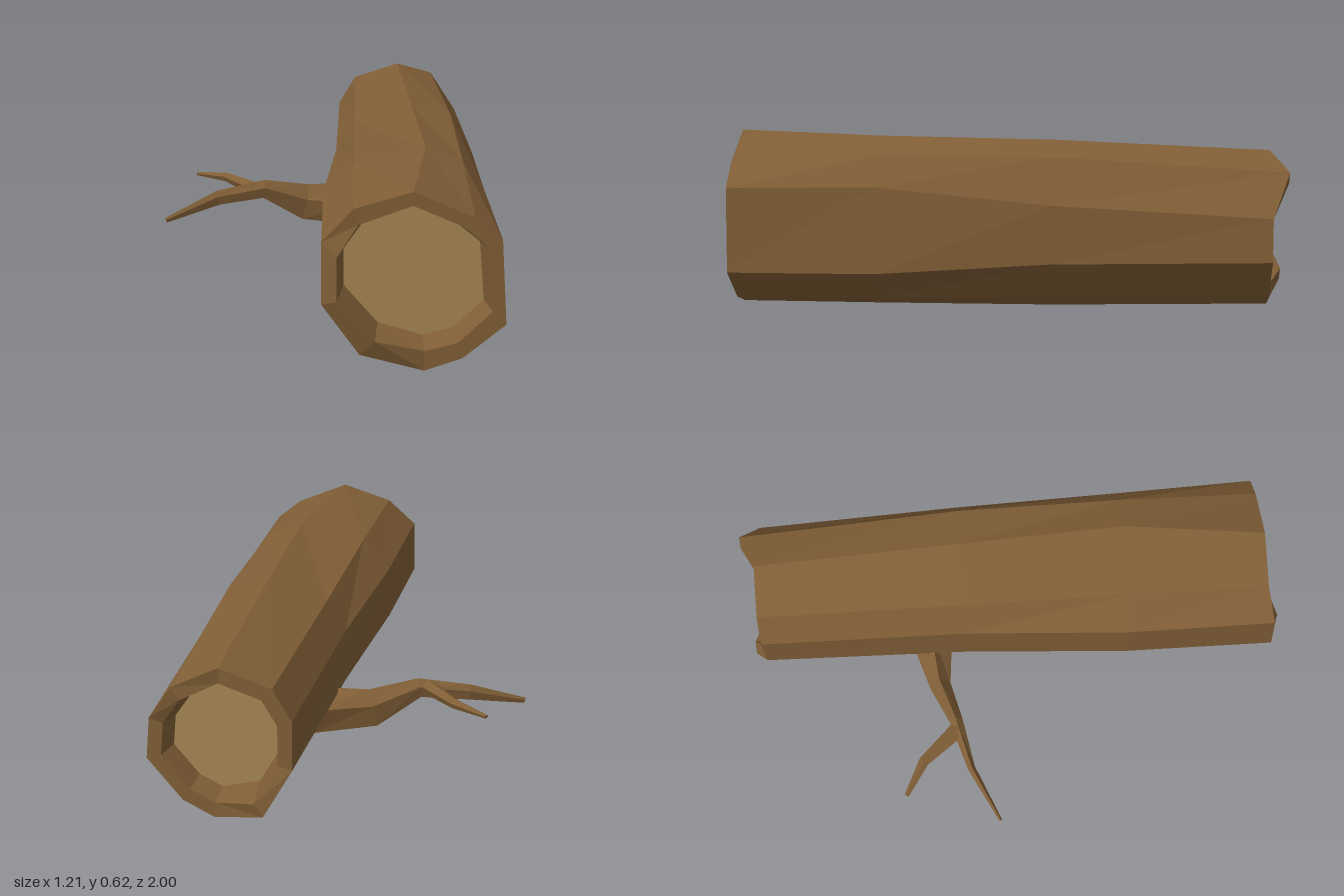
import * as THREE from 'three';

// Faceted mesh from a list of triangles (each corner a Vector3)
function facetMesh(name, tris, material) {
  const g = new THREE.BufferGeometry().setFromPoints(tris);
  g.computeVertexNormals();
  const mesh = new THREE.Mesh(g, material);
  mesh.name = name;
  return mesh;
}

// Skin between consecutive closed rings
function loft(rings) {
  const tris = [];
  for (let k = 0; k < rings.length - 1; k++) {
    const p = rings[k], q = rings[k + 1], n = p.length;
    for (let i = 0; i < n; i++) {
      const j = (i + 1) % n;
      tris.push(p[i], p[j], q[i], p[j], q[j], q[i]);
    }
  }
  return tris;
}

// Fan that closes a ring
function fan(ring, flip) {
  const c = new THREE.Vector3();
  ring.forEach((p) => c.add(p));
  c.divideScalar(ring.length);
  return ring.flatMap((p, i) => {
    const q = ring[(i + 1) % ring.length];
    return flip ? [c, q, p] : [c, p, q];
  });
}

// Ring from an [x, y] outline; z is one depth, with exceptions by index
function ringAt(outline, z, special = {}) {
  return outline.map(([x, y], i) => new THREE.Vector3(x, y, special[i] ?? z));
}

// Outline shrunk towards a centre
function inset(outline, cx, cy, s) {
  return outline.map(([x, y]) => [cx + (x - cx) * s, cy + (y - cy) * s]);
}

// Tapered limb; each section is [x, y, z, halfWidth, halfHeight]
function limb(sections, sides = 5) {
  const pts = sections.map((s) => new THREE.Vector3(s[0], s[1], s[2]));
  const rings = sections.map(([, , , w, h], k) => {
    const t = pts[Math.min(k + 1, pts.length - 1)].clone()
      .sub(pts[Math.max(k - 1, 0)]).normalize();
    const n = new THREE.Vector3(0, 1, 0).cross(t).normalize();
    const u = t.clone().cross(n);
    return Array.from({ length: sides }, (_, i) => {
      const a = Math.PI / 2 + (i / sides) * Math.PI * 2;
      return pts[k].clone().addScaledVector(n, Math.cos(a) * w).addScaledVector(u, Math.sin(a) * h);
    });
  });
  return [...loft(rings), ...fan(rings[0], true), ...fan(rings[rings.length - 1], false)];
}

export function createModel() {
  const bark = new THREE.MeshStandardMaterial({ color: 0x805e36 });
  bark.name = 'bark';
  const heartwood = new THREE.MeshStandardMaterial({ color: 0xa68652 });
  heartwood.name = 'heartwood';

  const model = new THREE.Group();
  model.name = 'fallenLog';

  // Trunk outlines from front to back, starting upper left and going over the top
  const front = [[0, 0.46], [0.105, 0.565], [0.295, 0.622], [0.495, 0.535], [0.585, 0.46],
    [0.606, 0.165], [0.465, 0.045], [0.34, 0], [0.125, 0.065], [0, 0.25]];
  const middle = [[0.003, 0.45], [0.11, 0.56], [0.36, 0.615], [0.49, 0.565], [0.565, 0.465],
    [0.595, 0.165], [0.465, 0.05], [0.34, 0], [0.125, 0.07], [0.003, 0.25]];
  const waist = [[0.05, 0.42], [0.12, 0.53], [0.335, 0.603], [0.485, 0.565], [0.572, 0.41],
    [0.578, 0.205], [0.46, 0.06], [0.34, 0.003], [0.15, 0.07], [0.048, 0.23]];
  const back = [[0.065, 0.4], [0.13, 0.51], [0.31, 0.57], [0.455, 0.515], [0.555, 0.37],
    [0.57, 0.22], [0.45, 0.075], [0.34, 0.02], [0.155, 0.07], [0.068, 0.22]];
  // Rim and hollow outlines
  const frontRim = [[0.05, 0.415], [0.12, 0.51], [0.295, 0.575], [0.455, 0.505], [0.54, 0.435],
    [0.56, 0.21], [0.45, 0.1], [0.34, 0.07], [0.175, 0.12], [0.05, 0.265]];
  const frontCore = inset(frontRim, 0.305, 0.32, 0.91);
  const backRim = inset(back, 0.315, 0.295, 0.8);
  const backCore = inset(back, 0.315, 0.295, 0.72);

  const coreF = ringAt(frontCore, 0.86);
  const coreB = ringAt(backCore, -0.86);
  const jagged = { 3: -1, 8: -1 };
  const trunk = loft([
    coreF,
    ringAt(frontRim, 0.945, { 0: 0.99, 8: 0.985, 9: 1 }),
    ringAt(front, 0.945, { 0: 0.97, 8: 0.965, 9: 0.985 }),
    ringAt(middle, 0.43),
    ringAt(waist, -0.18),
    ringAt(back, -0.94, jagged),
    ringAt(backRim, -0.94, jagged),
    coreB,
  ]);
  model.add(facetMesh('trunk', trunk, bark));

  // Pale wood inside both ends
  model.add(facetMesh('frontHeartwood', fan(coreF, true), heartwood));
  model.add(facetMesh('backHeartwood', fan(coreB, false), heartwood));

  // Side branch and its twig
  const branch = new THREE.Group();
  branch.name = 'branch';
  branch.add(facetMesh('mainBranch', limb([
    [0.14, 0.155, -0.31, 0.085, 0.09],
    [-0.075, 0.168, -0.285, 0.042, 0.076],
    [-0.235, 0.24, -0.232, 0.026, 0.038],
    [-0.41, 0.218, -0.188, 0.015, 0.031],
    [-0.605, 0.16, -0.09, 0.006, 0.011],
  ]), bark));
  branch.add(facetMesh('twig', limb([
    [-0.265, 0.245, -0.225, 0.034, 0.026],
    [-0.385, 0.248, -0.362, 0.021, 0.018],
    [-0.508, 0.24, -0.432, 0.009, 0.007],
  ]), bark));
  model.add(branch);

  return model;
}
